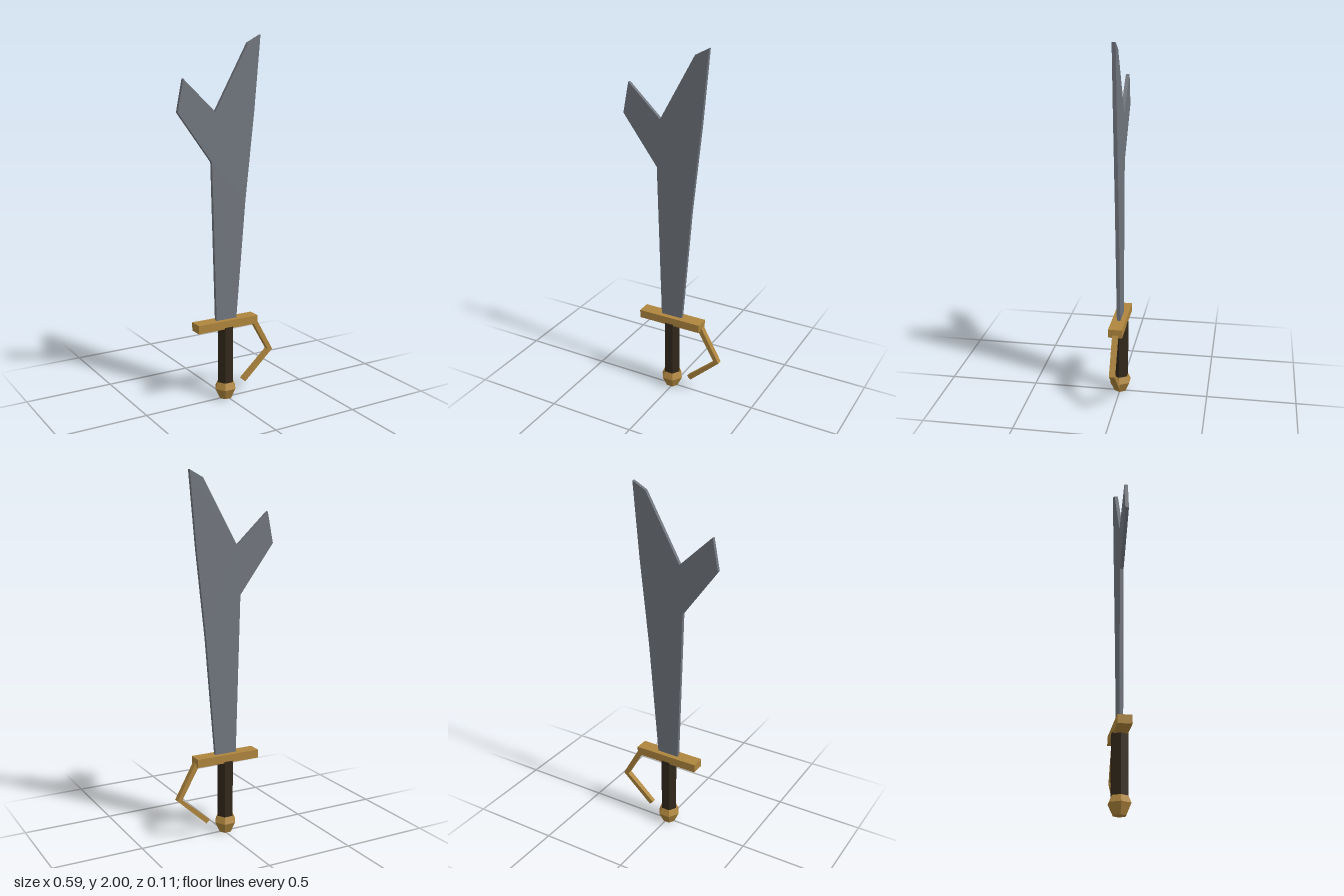
import * as THREE from 'three';

const steel = new THREE.MeshStandardMaterial({ color: 0x70757d });
steel.name = 'steel';
const brass = new THREE.MeshStandardMaterial({ color: 0xae853d });
brass.name = 'brass';
const leather = new THREE.MeshStandardMaterial({ color: 0x33281b });
leather.name = 'dark leather';

// Mesh with one normal per face
function faceted(name, geometry, material) {
  const flat = geometry.index ? geometry.toNonIndexed() : geometry;
  flat.computeVertexNormals();
  const mesh = new THREE.Mesh(flat, material);
  mesh.name = name;
  return mesh;
}

// Solid through four-cornered cross-sections, closed at both ends
function loft(rings) {
  const index = [0, 1, 2, 0, 2, 3];
  for (let r = 0; r < rings.length - 1; r++) {
    for (let i = 0; i < 4; i++) {
      const j = (i + 1) % 4;
      const a = r * 4 + i, b = r * 4 + j;
      index.push(a + 4, b + 4, b, a + 4, b, a);
    }
  }
  const e = (rings.length - 1) * 4;
  index.push(e + 2, e + 1, e, e + 3, e + 2, e);
  const geometry = new THREE.BufferGeometry();
  geometry.setAttribute('position', new THREE.Float32BufferAttribute(rings.flat(2), 3));
  geometry.setIndex(index);
  return geometry;
}

// Cross-section from an inner and an outer point of the bow
function section([ix, iy], [ox, oy], back = -0.017, front = 0.014) {
  return [[ix, iy, front], [ox, oy, front], [ox, oy, back], [ix, iy, back]];
}

export function createModel() {
  const sword = new THREE.Group();
  sword.name = 'sword';
  const axisX = -0.009;

  // Forked flat blade
  const outline = [
    [-0.07, 0.45], [0.055, 0.45], [0.112, 1.12], [0.165, 1.6], [0.201, 2],
    [0.125, 1.96], [-0.075, 1.605], [-0.262, 1.78], [-0.296, 1.61], [-0.096, 1.34],
  ];
  const shape = new THREE.Shape(outline.map(([x, y]) => new THREE.Vector2(x, y)));
  const bladeGeometry = new THREE.ExtrudeGeometry(shape, { depth: 0.02, bevelEnabled: false });
  bladeGeometry.translate(0, 0, -0.011);
  sword.add(faceted('blade', bladeGeometry, steel));

  // Crossguard
  const guard = faceted('crossguard', new THREE.BoxGeometry(0.376, 0.047, 0.077), brass);
  guard.position.set(-0.009, 0.438, -0.001);
  sword.add(guard);

  // Six-sided grip, corners on the x axis
  const grip = faceted('grip', new THREE.CylinderGeometry(0.048, 0.048, 0.325, 6), leather);
  grip.geometry.rotateY(Math.PI / 6);
  grip.position.set(axisX, 0.26, -0.001);
  sword.add(grip);

  // Six-sided pommel
  const profile = [[0, 0], [0.036, 0], [0.064, 0.06], [0.044, 0.105], [0, 0.105]];
  const pommelGeometry = new THREE.LatheGeometry(profile.map(([r, y]) => new THREE.Vector2(r, y)), 6);
  pommelGeometry.rotateY(Math.PI / 6);
  const pommel = faceted('pommel', pommelGeometry, brass);
  pommel.position.set(axisX, 0, -0.001);
  sword.add(pommel);

  // Bent knuckle bow, its lower bar twisted a quarter turn
  const end = section([0.095, 0.091], [0.116, 0.071], -0.014, 0.011);
  const twisted = [end[1], end[2], end[3], end[0]];
  const bow = loft([
    section([0.16, 0.42], [0.185, 0.432]),
    section([0.264, 0.238], [0.294, 0.236]),
    twisted,
  ]);
  sword.add(faceted('knuckleBow', bow, brass));

  // Lathe corners start on z, so turn the six-sided parts onto the x axis
  for (const part of [grip, pommel]) {
    part.geometry.computeBoundingBox();
    const box = part.geometry.boundingBox;
    if (box.max.z > box.max.x) part.geometry.rotateY(Math.PI / 6);
  }
  return sword;
}
